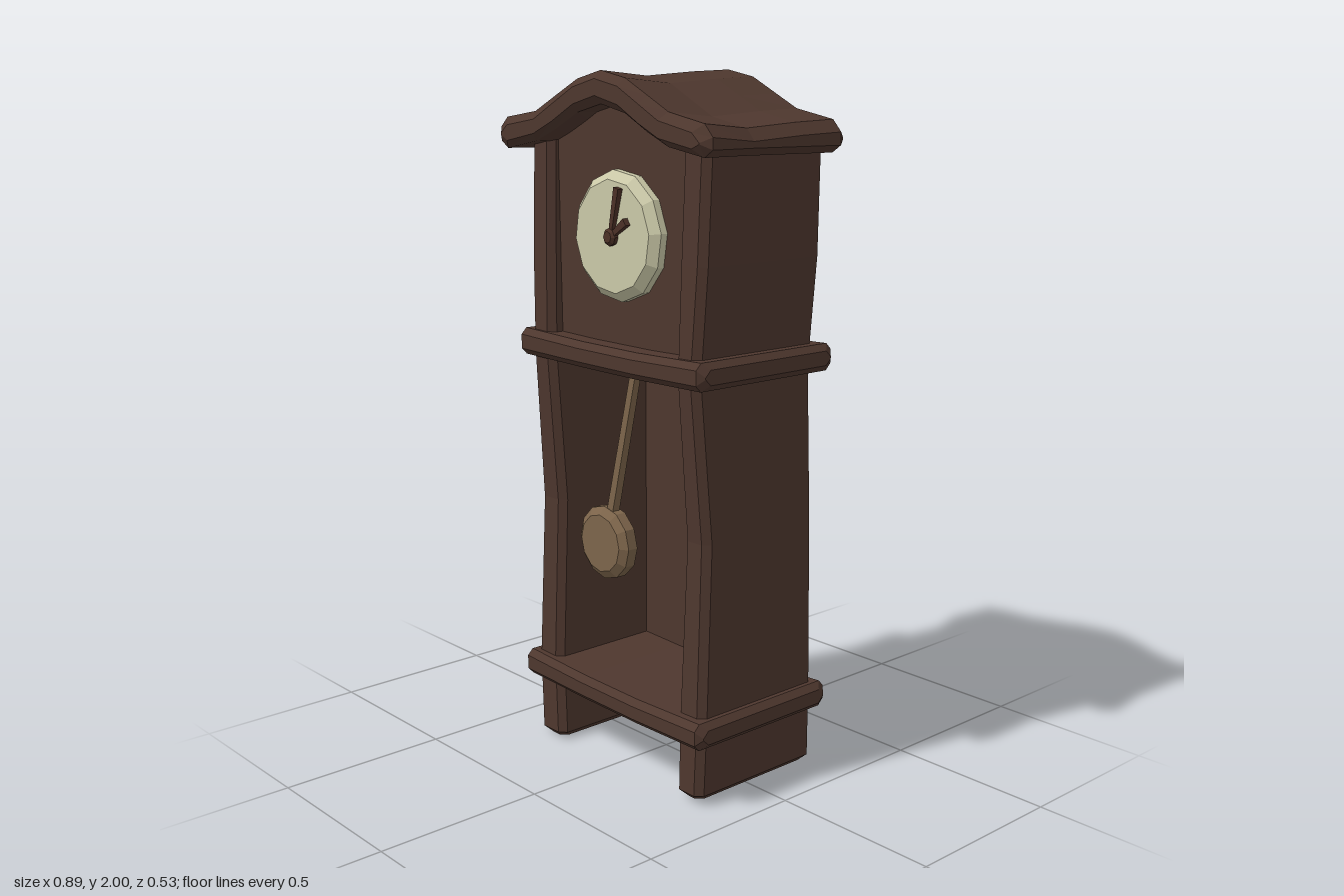
import * as THREE from 'three';

const flat = (name, color) => {
  const m = new THREE.MeshStandardMaterial({ color, flatShading: true });
  m.name = name;
  return m;
};

// Closed loft through equal rings (counter-clockwise seen from the end), with end caps
function loft(rings) {
  const n = rings[0].length, pos = rings.flat(2), idx = [];
  for (let i = 0; i < rings.length - 1; i++) {
    for (let j = 0; j < n; j++) {
      const k = (j + 1) % n, a = i * n, b = a + n;
      idx.push(a + j, a + k, b + k, a + j, b + k, b + j);
    }
  }
  // caps as strips between mirrored ring points j and n-1-j
  const e = (rings.length - 1) * n;
  for (let j = 0; j < n / 2 - 1; j++) {
    const p = j, q = j + 1, r = n - 2 - j, s = n - 1 - j;
    idx.push(e + p, e + q, e + r, e + p, e + r, e + s);
    idx.push(p, r, q, p, s, r);
  }
  const g = new THREE.BufferGeometry();
  g.setAttribute('position', new THREE.Float32BufferAttribute(pos, 3));
  g.setIndex(idx);
  const out = g.toNonIndexed();
  out.computeVertexNormals();
  return out;
}

// Chamfered, slightly crooked beam. Stations: [t, u0, u1, v0, v1] along axis 'x' (u=y, v=z) or 'y' (u=z, v=x)
function beam(axis, stations, c) {
  const first = stations[0], last = stations[stations.length - 1];
  const shrink = (s, t) => [t, s[1] + c, s[2] - c, s[3] + c, s[4] - c];
  const list = [
    shrink(first, first[0]), [first[0] + c, ...first.slice(1)],
    ...stations.slice(1, -1),
    [last[0] - c, ...last.slice(1)], shrink(last, last[0]),
  ];
  return loft(list.map(([t, u0, u1, v0, v1]) => [
    [u0 + c, v0], [u1 - c, v0], [u1, v0 + c], [u1, v1 - c],
    [u1 - c, v1], [u0 + c, v1], [u0, v1 - c], [u0, v0 + c],
  ].map(([u, v]) => (axis === 'x' ? [t, u, v] : [v, t, u]))));
}

// Arched board in the xy plane between z0 and z1
function archedBoard(y0, z0, z1) {
  const s = new THREE.Shape();
  s.moveTo(-0.28, y0);
  s.lineTo(0.32, y0);
  for (const [x, y] of [[0.32, 1.81], [0.26, 1.84], [0.13, 1.89], [0, 1.93], [-0.13, 1.89], [-0.24, 1.84], [-0.28, 1.81]]) s.lineTo(x, y);
  return new THREE.ExtrudeGeometry(s, { depth: z1 - z0, bevelEnabled: false }).translate(0, 0, z0);
}

// Bevelled disc facing +z
function disc(r, rFront, z0, zEdge, z1, sides) {
  const pts = [[0, z0], [rFront, z0], [r, z0 + (z1 - zEdge)], [r, zEdge], [rFront, z1], [0, z1]];
  return new THREE.LatheGeometry(pts.map(p => new THREE.Vector2(...p)), sides).rotateX(Math.PI / 2);
}

// Tapered square bar between two points in the xy plane
function bar(x0, y0, x1, y1, w0, w1, depth, z) {
  const len = Math.hypot(x1 - x0, y1 - y0);
  return new THREE.CylinderGeometry(w1 * 0.707, w0 * 0.707, len, 4)
    .rotateY(Math.PI / 4).scale(1, 1, depth / w0)
    .rotateZ(Math.atan2(y1 - y0, x1 - x0) - Math.PI / 2)
    .translate((x0 + x1) / 2, (y0 + y1) / 2, z);
}

export function createModel() {
  const group = new THREE.Group();
  const wood = flat('dark wood', 0x4e372e);
  const cream = flat('cream dial', 0xcbc9a8);
  const brass = flat('dull brass', 0x7d654b);
  const handWood = flat('hand brown', 0x4c3127);
  const add = (name, geometry, material = wood) => {
    const mesh = new THREE.Mesh(geometry, material);
    mesh.name = name;
    group.add(mesh);
    return mesh;
  };

  // Side walls, running down into the feet
  add('rightSide', beam('y', [
    [0, -0.235, 0.215, -0.345, -0.235], [0.25, -0.235, 0.21, -0.36, -0.25],
    [0.75, -0.23, 0.19, -0.355, -0.25], [1.2, -0.225, 0.222, -0.345, -0.25],
    [1.5, -0.235, 0.215, -0.355, -0.255], [1.84, -0.235, 0.205, -0.355, -0.26],
  ], 0.02));
  add('leftSide', beam('y', [
    [0.01, -0.24, 0.215, 0.275, 0.375], [0.25, -0.235, 0.21, 0.275, 0.38],
    [0.75, -0.23, 0.19, 0.28, 0.375], [1.2, -0.225, 0.222, 0.275, 0.362],
    [1.5, -0.235, 0.215, 0.28, 0.38], [1.84, -0.235, 0.205, 0.285, 0.385],
  ], 0.02));

  // Boards closing the back and the dial compartment
  add('backPanel', archedBoard(0.22, -0.205, -0.14));
  add('dialPanel', archedBoard(1.2, 0.11, 0.178));

  // Shelves that wrap the case as trim bands
  for (const [name, y] of [['bottomShelf', 0.185], ['middleShelf', 1.182]]) {
    add(name, beam('x', [
      [-0.38, y + 0.002, y + 0.08, -0.262, 0.245], [-0.1, y - 0.002, y + 0.072, -0.255, 0.25],
      [0.14, y - 0.004, y + 0.07, -0.25, 0.252], [0.412, y - 0.002, y + 0.075, -0.262, 0.25],
    ], 0.018));
  }

  // Curved roof: columns of [x, top, bottom], lofted front to back
  const columns = [
    [-0.445, 1.845, 1.8], [-0.415, 1.872, 1.78], [-0.28, 1.89, 1.803], [-0.19, 1.932, 1.838],
    [-0.09, 1.978, 1.885], [0.01, 2, 1.908], [0.11, 1.98, 1.885], [0.2, 1.935, 1.838],
    [0.28, 1.895, 1.803], [0.415, 1.868, 1.78], [0.445, 1.835, 1.8],
  ];
  // [z, left end scale, right end scale, sag, bevel inset]
  const roofStations = [
    [-0.25, 0.94, 0.97, 0, 0.022], [-0.228, 0.96, 1, 0, 0], [-0.09, 1, 0.98, 0.006, 0],
    [0.08, 0.9, 0.96, 0.018, 0], [0.243, 0.99, 1, 0.004, 0], [0.265, 0.93, 0.94, 0.004, 0.022],
  ];
  add('roof', loft(roofStations.map(([z, l, r, sag, inset]) => {
    const px = x => x * (x < 0 ? l : r);
    const trim = c => Math.min(inset, (c[1] - c[2]) * 0.4);
    const low = columns.map(c => [px(c[0]), c[2] + trim(c), z]);
    const high = columns.map(c => [px(c[0]), c[1] - trim(c) - sag, z]);
    return [...low, ...high.reverse()];
  })));

  // Dial and hands
  add('clockFace', disc(0.18, 0.155, 0.15, 0.2, 0.222, 12).rotateZ(0.1).translate(0.025, 1.555, 0), cream);
  add('minuteHand', bar(0.03, 1.555, 0.063, 1.688, 0.012, 0.02, 0.012, 0.228), handWood);
  add('hourHand', bar(0.03, 1.555, 0.098, 1.6, 0.012, 0.022, 0.012, 0.228), handWood);
  add('handHub', disc(0.025, 0.016, 0.215, 0.234, 0.242, 8).translate(0.03, 1.555, 0), handWood);

  // Pendulum
  add('pendulumRod', bar(-0.098, 0.7, 0.025, 1.2, 0.026, 0.022, 0.026, 0.13), brass);
  add('pendulumBob', disc(0.11, 0.086, 0.095, 0.145, 0.162, 12).translate(-0.11, 0.645, 0), brass);

  return group;
}
